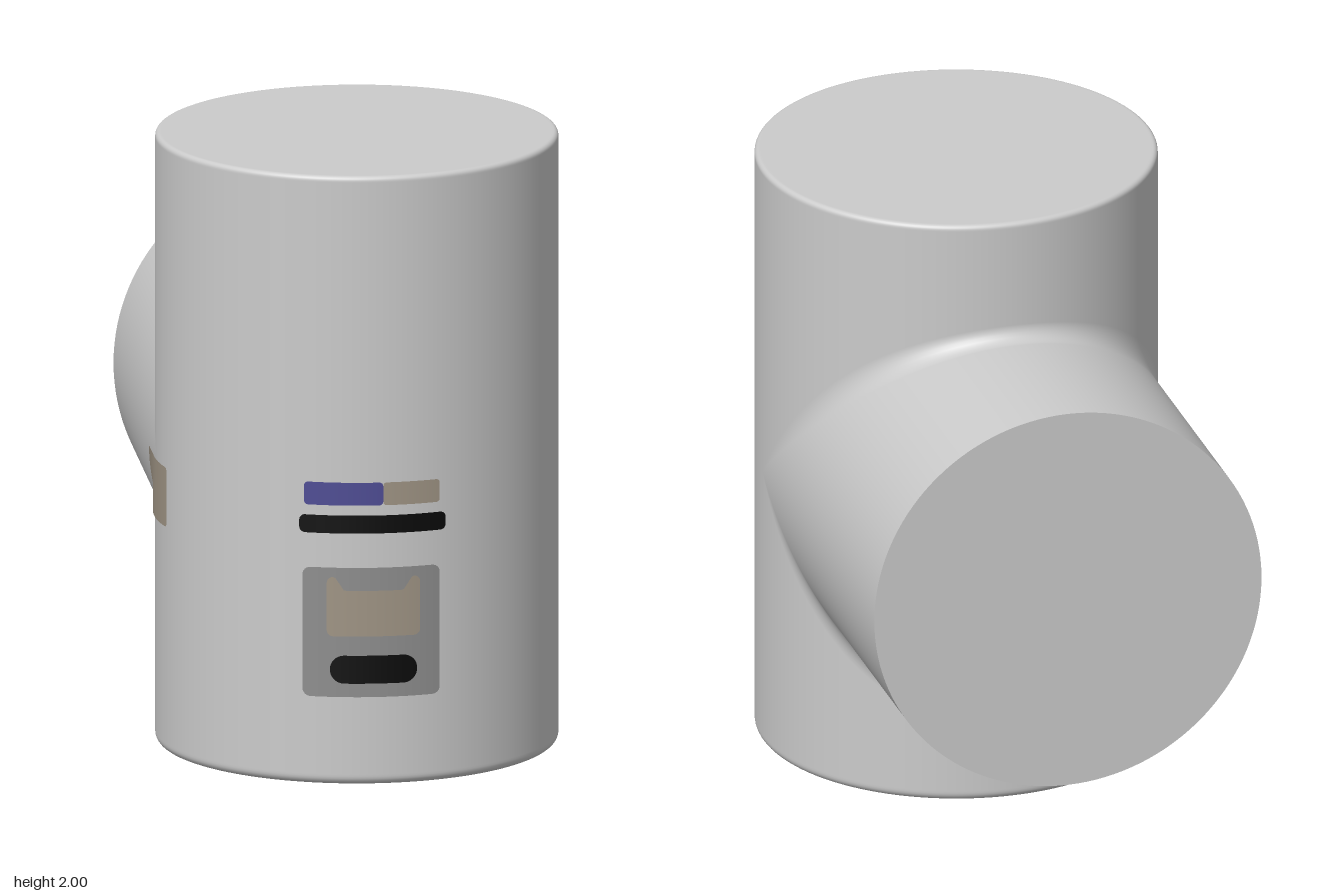
import * as THREE from 'three';

const R = 0.645;      // radius of both cylinders
const CZ = 0.315;     // z of the upright axis
const CY = 0.95;      // y of the branch axis

const mat = (name, color) => {
  const m = new THREE.MeshStandardMaterial({ color });
  m.name = name;
  return m;
};

// Grid of quads; at(u, v) returns { p, n } with u, v in 0..1
function gridGeometry(nu, nv, at) {
  const pos = [], nor = [], idx = [];
  for (let i = 0; i <= nu; i++) {
    for (let j = 0; j <= nv; j++) {
      const { p, n } = at(i / nu, j / nv);
      pos.push(...p);
      nor.push(...n);
      if (i < nu && j < nv) {
        const a = i * (nv + 1) + j, b = a + nv + 1;
        idx.push(a, b, a + 1, b, b + 1, a + 1);
      }
    }
  }
  const g = new THREE.BufferGeometry();
  g.setAttribute('position', new THREE.Float32BufferAttribute(pos, 3));
  g.setAttribute('normal', new THREE.Float32BufferAttribute(nor, 3));
  g.setIndex(idx);
  return g;
}

// Upright body with softened rims
function bodyGeometry() {
  const pts = [new THREE.Vector2(0, 0)];
  const rim = (r, cy, a0) => {
    for (let i = 0; i <= 6; i++) {
      const a = a0 + (i / 6) * Math.PI / 2;
      pts.push(new THREE.Vector2(R - r + r * Math.cos(a), cy + r * Math.sin(a)));
    }
  };
  pts.push(new THREE.Vector2(R - 0.035, 0));
  rim(0.028, 0.028, -Math.PI / 2);
  pts.push(new THREE.Vector2(R, 0.035), new THREE.Vector2(R, 1.98));
  rim(0.016, 1.984, 0);
  pts.push(new THREE.Vector2(R - 0.022, 2), new THREE.Vector2(0, 2));
  return new THREE.LatheGeometry(pts, 128);
}

// Rolling-ball blend where the branch meets the body
function filletGeometry() {
  return gridGeometry(160, 8, (u, v) => {
    const t = u * Math.PI * 2, s = Math.sin(t), c = Math.cos(t);
    const r = 0.05 + 0.1 * s * s;
    const n = new THREE.Vector3(s, 0, -Math.abs(c))
      .lerp(new THREE.Vector3(s, c, 0), v).normalize();
    const p = new THREE.Vector3((R + r) * s, CY + (R + r) * c, CZ - (R + r) * Math.abs(c))
      .addScaledVector(n, -r);
    return { p: p.toArray(), n: n.toArray() };
  });
}

// Rounded plate wrapped on the body, around the upright axis
function plateGeometry(x0, x1, y0, y1, round, lift, { notch = () => 0, nearBranch = false } = {}) {
  return gridGeometry(36, 10, (u, v) => {
    const x = (x0 + x1) / 2 - (x1 - x0) / 2 * Math.cos(u * Math.PI);
    const e = Math.min(x - x0, x1 - x);
    const inset = e < round ? round - Math.sqrt(Math.max(0, round ** 2 - (round - e) ** 2)) : 0;
    const lo = y0 + inset, hi = y1 - Math.max(inset, notch(x));
    const y = lo + (hi - lo) * v;
    let off = Math.abs(x);
    if (nearBranch && x < 0) off = Math.min(off, Math.abs(y - CY));
    const z = Math.sqrt(R * R - off * off) + lift;
    const n = new THREE.Vector3(x, 0, z).normalize();
    return { p: [x, y, z], n: n.toArray() };
  });
}

// Flat rounded square facing down
function baseSquare(half, r) {
  const s = new THREE.Shape();
  const q = half - r;
  s.absarc(q, q, r, 0, Math.PI / 2);
  s.absarc(-q, q, r, Math.PI / 2, Math.PI);
  s.absarc(-q, -q, r, Math.PI, Math.PI * 1.5);
  s.absarc(q, -q, r, Math.PI * 1.5, Math.PI * 2);
  return new THREE.ShapeGeometry(s, 8).rotateX(Math.PI / 2);
}

export function createModel() {
  const grey = mat('light grey', 0xcbcbcb);
  const panelGrey = mat('panel grey', 0x8e8e8e);
  const tan = mat('tan', 0xa09585);
  const blue = mat('blue', 0x4e4c94);
  const black = mat('black', 0x0a0a0a);

  const model = new THREE.Group();
  model.name = 'pipeTee';
  const upright = new THREE.Group();
  upright.name = 'uprightAssembly';
  upright.position.z = CZ;
  model.add(upright);

  const add = (parent, name, geometry, material) => {
    const m = new THREE.Mesh(geometry, material);
    m.name = name;
    parent.add(m);
    return m;
  };

  // Main tube, branch and their blend
  add(upright, 'body', bodyGeometry(), grey);
  const len = CZ + 0.96;
  const branch = add(model, 'branch',
    new THREE.CylinderGeometry(R, R, len, 128).rotateX(-Math.PI / 2), grey);
  branch.position.set(0, CY, CZ - len / 2);
  add(model, 'branchFillet', filletGeometry(), grey);

  // Front markings
  add(upright, 'frontPanel', plateGeometry(-0.24, 0.2, 0.29, 0.715, 0.025, 0.003), panelGrey);
  const notch = x => 0.045 * THREE.MathUtils.clamp((0.125 - Math.abs(x + 0.015)) / 0.03, 0, 1);
  add(upright, 'frontLabel', plateGeometry(-0.165, 0.135, 0.49, 0.685, 0.02, 0.006, { notch }), tan);
  add(upright, 'frontSlot', plateGeometry(-0.155, 0.125, 0.335, 0.427, 0.045, 0.006), black);
  add(upright, 'frontStripe', plateGeometry(-0.25, 0.22, 0.828, 0.887, 0.018, 0.004), black);
  add(upright, 'blueBar', plateGeometry(-0.235, 0.015, 0.92, 0.995, 0.012, 0.004), blue);
  add(upright, 'tanBar', plateGeometry(0.015, 0.2, 0.92, 0.995, 0.012, 0.004), tan);

  // Side marking, wrapped over body and branch
  add(upright, 'sideLabel',
    plateGeometry(-0.155, 0.165, 0.75, 0.945, 0.012, 0.007, { nearBranch: true }), tan)
    .rotation.y = -Math.PI / 2;

  // Underside pad
  add(upright, 'basePadBorder', baseSquare(0.415, 0.06), panelGrey).position.y = -0.002;
  add(upright, 'basePad', baseSquare(0.365, 0.03), black).position.y = -0.004;

  return model;
}
